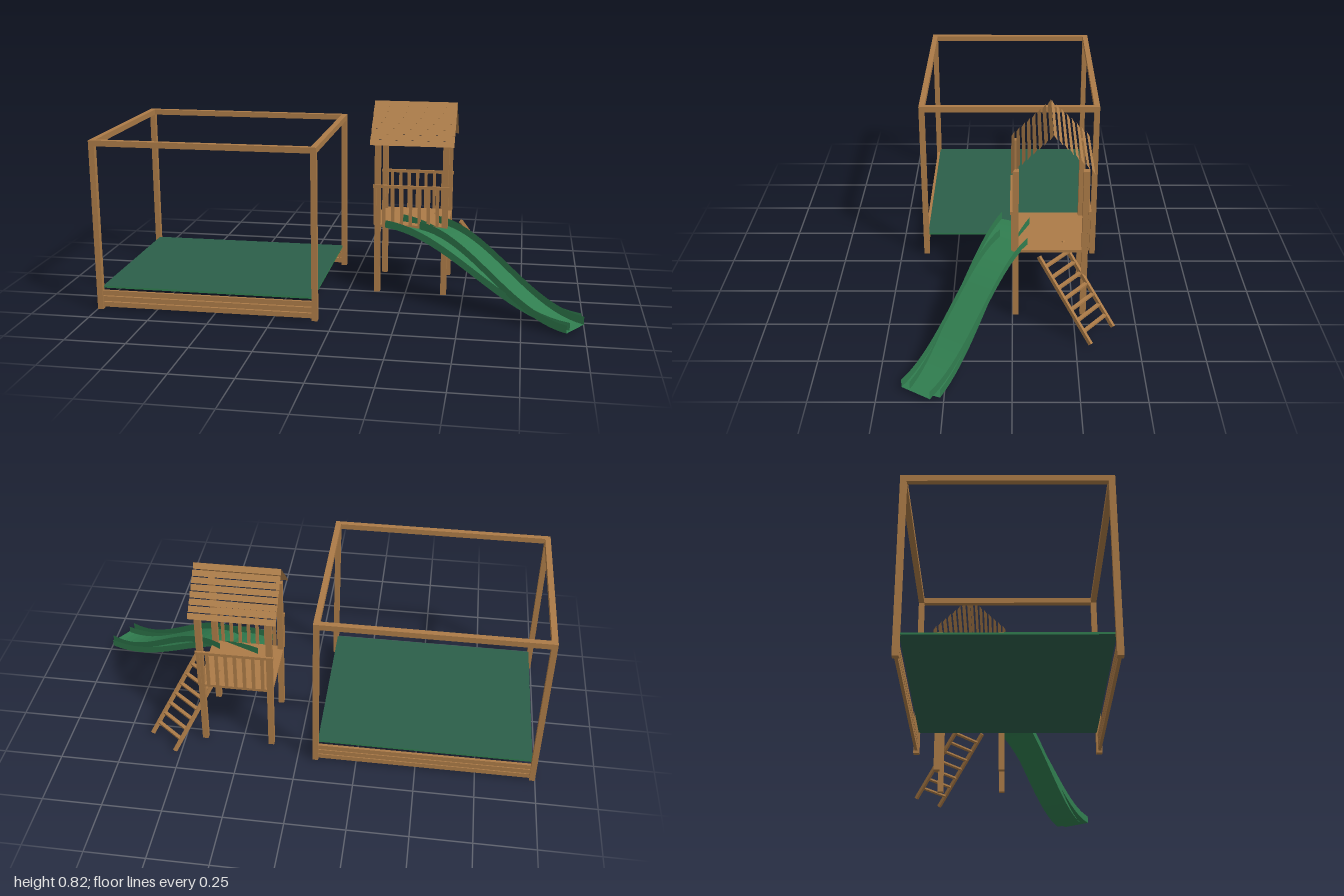
import * as THREE from 'three';

const wood = new THREE.MeshStandardMaterial({ color: 0xac7b47 });
wood.name = 'wood';
const roofWood = new THREE.MeshStandardMaterial({ color: 0xb3824d, side: THREE.DoubleSide });
roofWood.name = 'roof wood';
const slideGreen = new THREE.MeshStandardMaterial({ color: 0x307d4f, side: THREE.DoubleSide });
slideGreen.name = 'slide green';
const matGreen = new THREE.MeshStandardMaterial({ color: 0x2c5f4a });
matGreen.name = 'mat green';

// Box given by its low and high corners
function block(parent, name, lo, hi, material = wood) {
  const size = hi.map((h, i) => h - lo[i]);
  const mesh = new THREE.Mesh(new THREE.BoxGeometry(...size), material);
  mesh.position.set(...hi.map((h, i) => (h + lo[i]) / 2));
  mesh.name = name;
  parent.add(mesh);
  return mesh;
}

// Square bar between two points, its width kept level
function bar(parent, name, a, b, width, height) {
  const dir = b.clone().sub(a);
  const mesh = new THREE.Mesh(new THREE.BoxGeometry(width, height, dir.length()), wood);
  mesh.position.copy(a).add(b).multiplyScalar(0.5);
  mesh.lookAt(b);
  mesh.name = name;
  parent.add(mesh);
}

// Four upright posts at the corners of a rectangle
function posts(parent, name, x0, x1, z0, z1, t, height) {
  for (const x of [x0, x1 - t])
    for (const z of [z0, z1 - t]) block(parent, name, [x, 0, z], [x + t, height, z + t]);
}

function sandpit() {
  const g = new THREE.Group();
  g.name = 'playFrame';
  const [x0, x1, z0, z1, t] = [-1, -0.065, -0.372, 0.4, 0.024];
  posts(g, 'framePost', x0, x1, z0, z1, t, 0.696);
  // Top beams
  for (const z of [z0, z1 - t]) block(g, 'longBeam', [x0, 0.695, z], [x1, 0.719, z + t]);
  for (const x of [x0, x1 - t]) block(g, 'crossBeam', [x, 0.695, z0 + t], [x + t, 0.719, z1 - t]);
  // Low boards along front and back
  for (const z of [z0 + 0.005, z1 - 0.017])
    for (let i = 0; i < 3; i++)
      block(g, 'sideBoard', [x0 + t, 0.01 + i * 0.025, z], [x1 - t, 0.031 + i * 0.025, z + 0.012]);
  // Floor mat with lighter edges
  block(g, 'floorMat', [x0 + 0.02, 0.088, z0 + 0.02], [x1 - 0.02, 0.096, z1 - 0.02],
    [slideGreen, slideGreen, matGreen, matGreen, slideGreen, slideGreen]);
  return g;
}

function tower() {
  const g = new THREE.Group();
  g.name = 'tower';
  const [x0, x1, z0, z1] = [0.112, 0.427, -0.302, 0];
  posts(g, 'towerPost', x0, x1, z0, z1, 0.025, 0.655);
  block(g, 'platform', [x0, 0.295, z0], [x1, 0.307, z1]);
  // Railings on front and back
  for (const [z, s] of [[z1, 1], [z0, -1]]) {
    const span = (d0, d1) => [z + s * d0, z + s * d1].sort((a, b) => a - b);
    const [r0, r1] = span(-0.002, 0.009);
    block(g, 'handRail', [0.106, 0.47, r0], [0.432, 0.483, r1]);
    const [b0, b1] = span(-0.003, 0.005);
    for (let i = 0; i < 9; i++) {
      const x = 0.115 + i * 0.03825;
      block(g, 'baluster', [x - 0.007, 0.305, b0], [x + 0.007, 0.472, b1]);
    }
  }
  // Louvred gable roof of thin slats
  const count = 8, ridgeZ = -0.157, tilt = Math.atan2(0.013, 0.0215);
  for (const s of [1, -1])
    for (let i = 0; i < count; i++) {
      const slat = new THREE.Mesh(new THREE.PlaneGeometry(0.358, 0.0255), roofWood);
      slat.name = 'roofSlat';
      slat.rotation.order = 'YXZ';
      slat.rotation.set(-tilt, s > 0 ? 0 : Math.PI, 0);
      slat.position.set(0.27, 0.809 - i * 0.0205, ridgeZ + s * (0.007 + i * 0.0212));
      g.add(slat);
    }
  return g;
}

function ladder() {
  const g = new THREE.Group();
  g.name = 'ladder';
  const a0 = new THREE.Vector3(0.478, 0.307, -0.105), a1 = new THREE.Vector3(0.648, 0.008, -0.309);
  const across = new THREE.Vector3(-0.122, 0, -0.097);
  const b0 = a0.clone().add(across), b1 = a1.clone().add(across);
  bar(g, 'ladderRail', a0, a1, 0.012, 0.016);
  bar(g, 'ladderRail', b0, b1, 0.012, 0.016);
  for (let i = 0; i < 7; i++) {
    const t = 0.12 + i * 0.123;
    bar(g, 'rung', a0.clone().lerp(a1, t), b0.clone().lerp(b1, t), 0.016, 0.008);
  }
  return g;
}

// Ribbon between two rows of points
function ribbon(parent, name, rowA, rowB) {
  const pos = [];
  for (let i = 0; i + 1 < rowA.length; i++)
    for (const p of [rowA[i], rowB[i], rowB[i + 1], rowA[i], rowB[i + 1], rowA[i + 1]]) pos.push(p.x, p.y, p.z);
  const geo = new THREE.BufferGeometry();
  geo.setAttribute('position', new THREE.Float32BufferAttribute(pos, 3));
  geo.computeVertexNormals();
  const mesh = new THREE.Mesh(geo, slideGreen);
  mesh.name = name;
  parent.add(mesh);
}

// Chute with an S-shaped drop: start and end of its near edge, and the step across
function slide(name, start, end, across) {
  const g = new THREE.Group();
  g.name = name;
  const n = 20;
  const row = (side, lift) => Array.from({ length: n + 1 }, (_, i) => {
    const t = i / n, drop = (1 - Math.cos(Math.PI * t)) / 2;
    return new THREE.Vector3(
      start[0] + (end[0] - start[0]) * t + across[0] * side,
      0.306 - 0.293 * drop + lift,
      start[1] + (end[1] - start[1]) * t + across[1] * side);
  });
  ribbon(g, 'slideBed', row(0, 0), row(1, 0));
  ribbon(g, 'slideWall', row(0, 0), row(0, 0.033));
  ribbon(g, 'slideWall', row(1, 0.033), row(1, 0));
  return g;
}

export function createModel() {
  const model = new THREE.Group();
  model.name = 'playground';
  model.add(
    sandpit(), tower(), ladder(),
    slide('slide', [0.313, 0.05], [0.927, 0.41], [0.072, -0.11]),
    slide('secondSlide', [0.165, 0.045], [0.94, 0.378], [0.05, -0.115]));
  return model;
}
